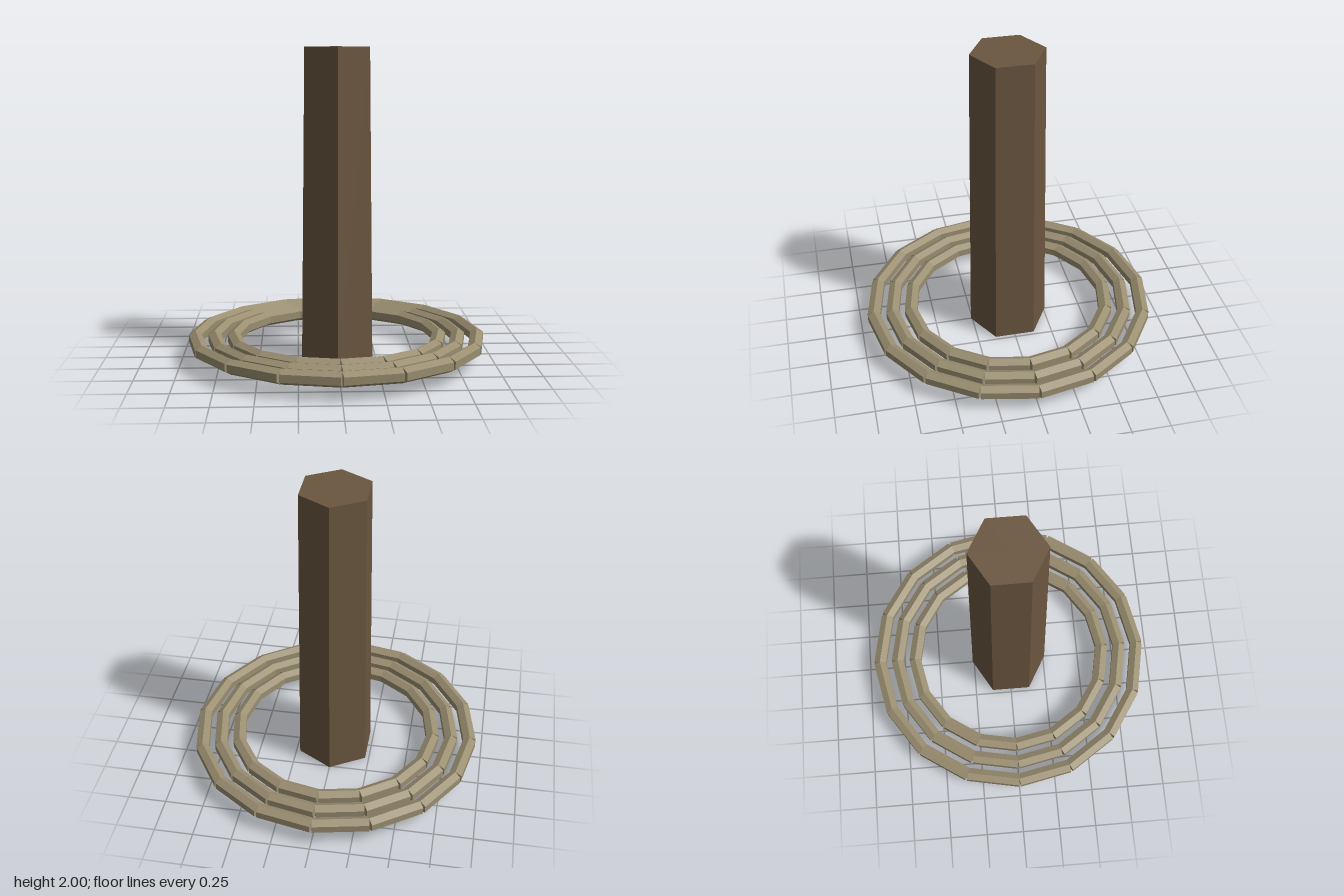
import * as THREE from 'three';

const SIDES = 16;       // straight rods per ring
const ROD_RADIUS = 0.048;
const RING_Y = 0.127;

// One ring of square-ended hexagonal rods meeting at the corners of a polygon
function makeRing(radius, material) {
  const ring = new THREE.Group();
  const half = Math.PI / SIDES;
  const rod = new THREE.CylinderGeometry(ROD_RADIUS, ROD_RADIUS, 2 * radius * Math.sin(half), 6);
  rod.rotateX(Math.PI / 2); // lay flat along z, with a ridge on top
  const apothem = radius * Math.cos(half);
  for (let i = 0; i < SIDES; i++) {
    const a = (2 * i + 1) * half;
    const mesh = new THREE.Mesh(rod, material);
    mesh.name = 'ringRod';
    mesh.position.set(apothem * Math.cos(a), RING_Y, apothem * Math.sin(a));
    mesh.rotation.y = -a;
    ring.add(mesh);
  }
  return ring;
}

export function createModel() {
  const model = new THREE.Group();
  const wood = new THREE.MeshStandardMaterial({ color: 0x6b5640, flatShading: true });
  const rope = new THREE.MeshStandardMaterial({ color: 0x9a8e70, flatShading: true });

  // Tapered hexagonal post
  const post = new THREE.Mesh(new THREE.CylinderGeometry(0.234, 0.26, 2, 6), wood);
  post.name = 'post';
  post.position.y = 1;
  model.add(post);

  // Three concentric rings around the foot
  const rings = { innerRing: 0.667, middleRing: 0.792, outerRing: 0.917 };
  for (const [name, radius] of Object.entries(rings)) {
    const ring = makeRing(radius, rope);
    ring.name = name;
    model.add(ring);
  }
  return model;
}
